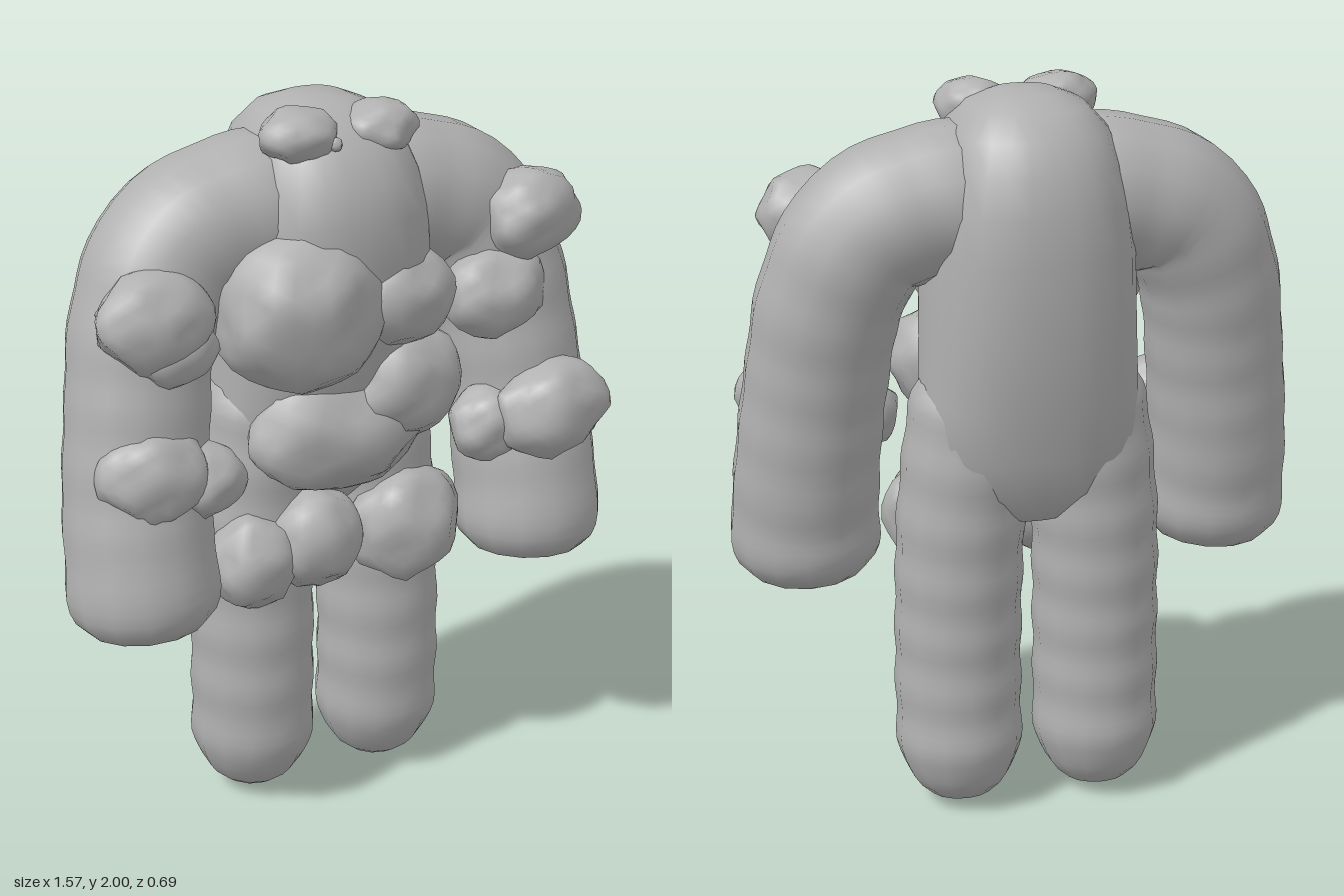
import * as THREE from 'three';
import { mergeVertices } from 'three/addons/utils/BufferGeometryUtils.js';

const stone = new THREE.MeshStandardMaterial({ color: 0xb0b0b0 });
stone.name = 'grey stone';

function seeded(seed) {
  let s = seed * 7919 + 17;
  return () => {
    s = (s * 16807) % 2147483647;
    return s / 2147483647;
  };
}

// Weld seams and give smooth normals
function smooth(geometry) {
  geometry.deleteAttribute('uv');
  geometry.deleteAttribute('normal');
  const g = mergeVertices(geometry, 1e-4);
  g.computeVertexNormals();
  return g;
}

function part(name, geometry) {
  const mesh = new THREE.Mesh(geometry, stone);
  mesh.name = name;
  return mesh;
}

// Thick tube with rounded ends; radiusAt(t) gives the thickness along it
function limb(points, radiusAt, cap, power, ripple) {
  const curve = new THREE.CatmullRomCurve3(points.map((p) => new THREE.Vector3(...p)));
  const rings = 44, sides = 14, length = curve.getLength();
  const g = new THREE.TubeGeometry(curve, rings, 1, sides);
  const pos = g.attributes.position, v = new THREE.Vector3();
  for (let i = 0; i <= rings; i++) {
    const t = i / rings, c = curve.getPointAt(t);
    const k = Math.min(1, (Math.min(t, 1 - t) * length) / cap);
    const dome = Math.pow(Math.max(0, 1 - Math.pow(1 - k, power)), 1 / power);
    const r = (radiusAt(t) + ripple * Math.cos((t * length * Math.PI * 2) / 0.16)) * dome;
    for (let j = 0; j <= sides; j++) {
      const n = i * (sides + 1) + j;
      v.fromBufferAttribute(pos, n).sub(c).multiplyScalar(r).add(c);
      pos.setXYZ(n, v.x, v.y, v.z);
    }
  }
  return smooth(g);
}

// Boulder: a sphere cut by random planes, with a little roughness
function boulder(seed, [x, y, z], [sx, sy, sz]) {
  const rand = seeded(seed);
  for (let i = 0; i < 5; i++) rand();
  const planes = [];
  for (let i = 0; i < 18; i++) {
    const h = 1 - (2 * (i + 0.5)) / 18, a = i * 2.4 + rand() * 0.9, q = Math.sqrt(1 - h * h);
    planes.push([new THREE.Vector3(q * Math.cos(a), h, q * Math.sin(a)), 0.88 + rand() * 0.12]);
  }
  const phase = rand() * 6;
  const g = smooth(new THREE.IcosahedronGeometry(1, 4));
  const pos = g.attributes.position, v = new THREE.Vector3();
  for (let i = 0; i < pos.count; i++) {
    v.fromBufferAttribute(pos, i).normalize();
    let r = 1.06;
    for (const [n, d] of planes) {
      const c = n.dot(v);
      if (c > 0.1) r = Math.min(r, d / c);
    }
    r += 0.025 * Math.sin(v.x * 7 + phase) * Math.cos(v.y * 6 - phase + v.z * 4);
    pos.setXYZ(i, x + v.x * r * sx, y + v.y * r * sy, z + v.z * r * sz);
  }
  g.computeVertexNormals();
  return g;
}

// Torso cross-sections: height, half width, centre z, half depth
function torso() {
  const rows = [
    [0.82, 0, -0.08, 0], [0.86, 0.1, -0.08, 0.11], [0.94, 0.22, -0.08, 0.165],
    [1.05, 0.295, -0.08, 0.195], [1.2, 0.29, -0.07, 0.235], [1.4, 0.28, -0.055, 0.283],
    [1.6, 0.275, -0.043, 0.3], [1.72, 0.26, -0.037, 0.3], [1.82, 0.235, -0.037, 0.278],
    [1.9, 0.205, -0.042, 0.232], [1.96, 0.15, -0.045, 0.17], [1.99, 0.08, -0.045, 0.09],
    [1.998, 0, -0.045, 0],
  ];
  const g = new THREE.LatheGeometry(rows.map(([y, w]) => new THREE.Vector2(w, y)), 28);
  const pos = g.attributes.position;
  for (let i = 0; i < pos.count; i++) {
    const [, w, zc, d] = rows[i % rows.length];
    const c = w ? pos.getX(i) / w : 0, s = w ? pos.getZ(i) / w : 0;
    // Slightly squared oval
    const k = w ? Math.pow(Math.abs(c) ** 2.5 + Math.abs(s) ** 2.5, -1 / 2.5) : 0;
    pos.setX(i, c * k * w);
    pos.setZ(i, zc + s * k * d);
  }
  return smooth(g);
}

export function createModel() {
  const model = new THREE.Group();
  model.name = 'stoneGiant';
  model.add(part('torso', torso()));

  // Arms and legs, mirrored
  for (const [side, s] of [['left', 1], ['right', -1]]) {
    const arm = [
      [0.05, 1.71, -0.035], [0.25, 1.71, -0.035], [0.42, 1.645, -0.03], [0.51, 1.48, -0.008],
      [0.55, 1.25, 0.028], [0.575, 1, 0.065], [0.58, 0.82, 0.1], [0.575, 0.645, 0.115],
    ].map(([x, y, z]) => [x * s, y, z]);
    model.add(part(side + 'Arm', limb(arm, (t) => 0.211 - 0.02 * Math.sin(Math.PI * t), 0.14, 2.6, 0.002)));
    const leg = [
      [0.12, 1.32, -0.06], [0.16, 1.08, -0.07], [0.185, 0.85, -0.068],
      [0.195, 0.45, -0.058], [0.195, 0.2, -0.065], [0.195, 0.003, -0.088],
    ].map(([x, y, z]) => [x * s, y, z]);
    model.add(part(side + 'Leg', limb(leg, () => 0.173, 0.19, 1.8, 0.003)));
  }

  // Boulders: name, centre, half sizes
  const rocks = [
    ['rightEye', [-0.12, 1.935, 0.1], [0.11, 0.068, 0.095]],
    ['leftEye', [0.105, 1.93, 0.1], [0.1, 0.068, 0.095]],
    ['eyePebble', [-0.055, 1.92, 0.175], [0.018, 0.018, 0.018]],
    ['rightChestRock', [-0.14, 1.49, 0.13], [0.225, 0.22, 0.2]],
    ['leftChestRock', [0.12, 1.49, 0.14], [0.175, 0.135, 0.14]],
    ['upperBellyRock', [0.16, 1.24, 0.11], [0.17, 0.165, 0.14]],
    ['lowerBellyRock', [-0.01, 1.12, 0.1], [0.26, 0.18, 0.14]],
    ['rightHipRock', [-0.25, 0.77, 0.08], [0.12, 0.14, 0.11]],
    ['middleHipRock', [-0.08, 0.81, 0.1], [0.13, 0.14, 0.11]],
    ['leftHipRock', [0.205, 0.8, 0.085], [0.165, 0.165, 0.13]],
    ['leftShoulderRock', [0.53, 1.65, 0.135], [0.142, 0.122, 0.12]],
    ['leftElbowRock', [0.435, 1.45, 0.145], [0.147, 0.125, 0.105]],
    ['leftForearmRock', [0.57, 1.12, 0.235], [0.162, 0.135, 0.11]],
    ['leftForearmSmallRock', [0.42, 1.08, 0.16], [0.115, 0.105, 0.09]],
    ['rightShoulderRock', [-0.55, 1.52, 0.15], [0.157, 0.13, 0.11]],
    ['rightElbowRock', [-0.5, 1.43, 0.14], [0.12, 0.09, 0.1]],
    ['rightForearmRock', [-0.57, 1.12, 0.18], [0.15, 0.135, 0.11]],
    ['rightForearmSmallRock', [-0.43, 1.08, 0.17], [0.11, 0.095, 0.1]],
  ];
  rocks.forEach(([name, centre, size], i) => model.add(part(name, boulder(i + 1, centre, size))));
  return model;
}
